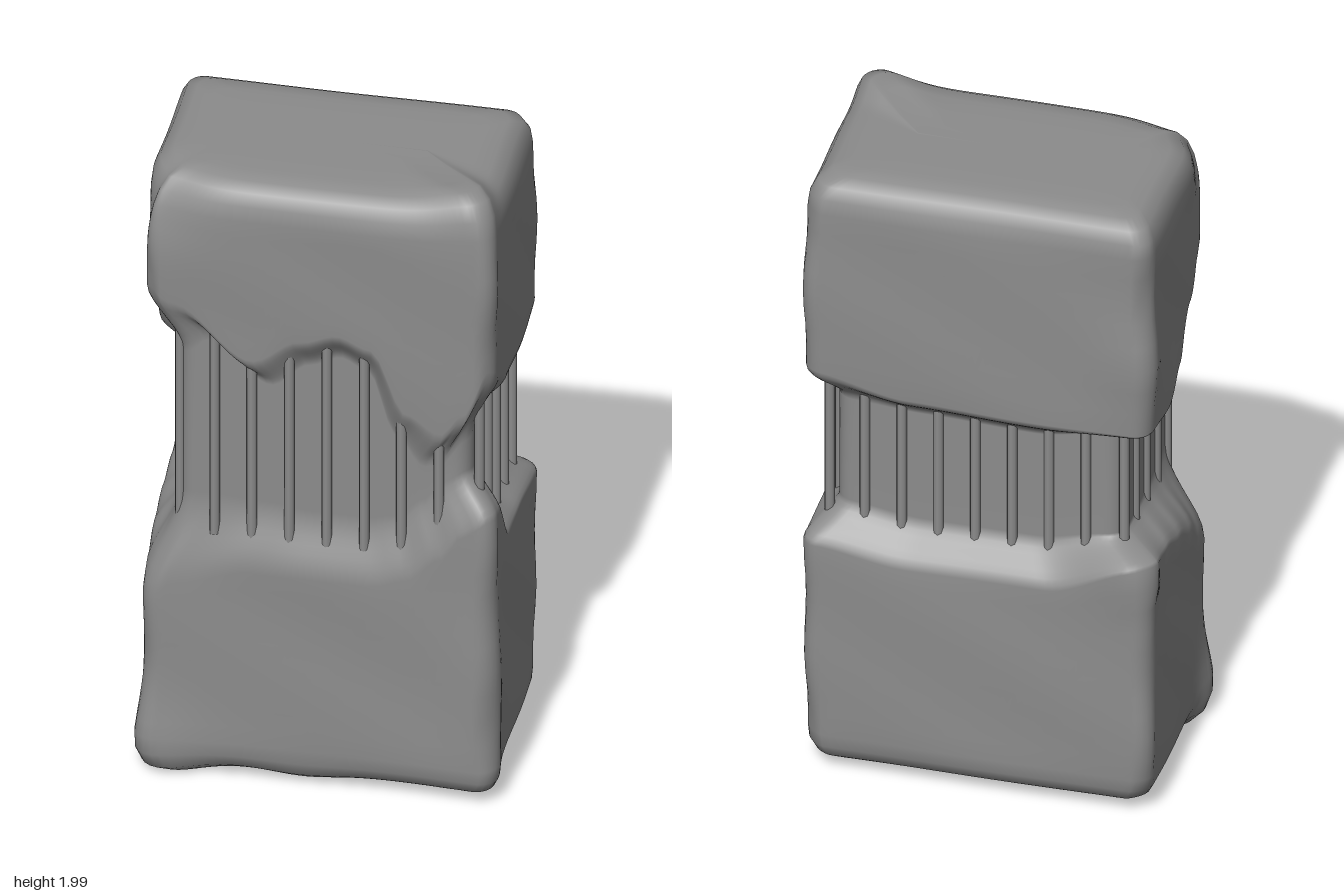
import * as THREE from 'three';

// Edge of the broken waist around the pillar:
// [p, upper edge, upper softness, lower edge, lower softness].
// p runs 0-1 along the front, 1-2 right side, 2-3 back, 3-4 left side.
const EDGE = [
  [0, 1.46, 0.22, 0.82, 0.24], [0.08, 1.48, 0.13, 0.84, 0.2], [0.31, 1.34, 0.1, 0.85, 0.15],
  [0.45, 1.42, 0.1, 0.84, 0.14], [0.56, 1.455, 0.1, 0.84, 0.14], [0.66, 1.42, 0.1, 0.84, 0.14],
  [0.76, 1.22, 0.1, 0.86, 0.13], [0.86, 1.14, 0.14, 0.93, 0.12], [0.93, 1.18, 0.2, 1.0, 0.1],
  [1, 1.28, 0.26, 1.04, 0.09], [1.1, 1.29, 0.16, 1.03, 0.09], [1.32, 1.25, 0.12, 0.86, 0.07],
  [1.6, 1.24, 0.12, 0.84, 0.06], [2, 1.26, 0.13, 0.84, 0.08], [2.3, 1.23, 0.09, 0.81, 0.09],
  [2.7, 1.22, 0.09, 0.81, 0.09], [3, 1.24, 0.06, 0.87, 0.04], [3.3, 1.21, 0.08, 0.86, 0.07],
  [3.52, 1.27, 0.1, 0.85, 0.1], [3.72, 1.4, 0.11, 0.84, 0.14], [3.88, 1.47, 0.14, 0.83, 0.2],
  [4, 1.46, 0.22, 0.82, 0.24],
];

// Bulges and hollows on the corners: [p, y, height, amount]
const DENTS = [
  [0, 0, 0.16, 0.03], [0, 1.95, 0.18, -0.05], [0, 1.45, 0.2, -0.012],
  [1, 0.3, 0.35, 0.016], [3, 0.79, 0.07, 0.02], [3, 1.5, 0.12, 0.012],
];
const smooth = (t) => t * t * (3 - 2 * t);
const bell = (d, w) => Math.exp(-((d / w) ** 2));

function edgeAt(p) {
  const q = p % 4;
  const i = EDGE.findIndex((e) => e[0] > q);
  const a = EDGE[i - 1], b = EDGE[i];
  const t = smooth((q - a[0]) / (b[0] - a[0]));
  return [1, 2, 3, 4].map((n) => a[n] + (b[n] - a[n]) * t);
}

// Columns around a rounded rectangle: position on the inner rectangle, outward normal, p
function perimeter(flat = 40, arc = 6) {
  const cols = [];
  const dirs = [[0, 1], [1, 0], [0, -1], [-1, 0]];
  for (let s = 0; s < 4; s++) {
    const n = dirs[s], next = dirs[(s + 1) % 4];
    for (let i = 0; i < flat; i++) {
      const t = i / flat, k = 2 * t - 1;
      cols.push({ f: [n[0] + next[0] * k, n[1] + next[1] * k], n, p: s + 0.04 + 0.92 * t });
    }
    for (let i = 0; i < arc; i++) {
      const t = i / arc, c = Math.cos(t * Math.PI / 2), d = Math.sin(t * Math.PI / 2);
      cols.push({
        f: [n[0] + next[0], n[1] + next[1]],
        n: [n[0] * c + next[0] * d, n[1] * c + next[1] * d],
        p: s + 0.96 + 0.08 * t,
      });
    }
  }
  return cols;
}

// Levels from bottom to top, each giving [y, block weight, inset] for a column
function levels() {
  const rows = [];
  const fixed = (y, inset) => rows.push(() => [y, 1, inset]);
  [[0.03, 0.25], [0.03, 0.18], [0.03, 0.1], [0.035, 0.05], [0.055, 0.02], [0.09, 0.004], [0.13, 0]]
    .forEach(([y, d]) => fixed(y, d));
  for (let i = 1; i <= 9; i++) {
    rows.push(([, , lo, soft]) => [0.13 + (lo - soft - 0.13) * i / 10, 1, 0]);
  }
  for (let i = 0; i <= 8; i++) {
    rows.push(([, , lo, soft]) => [lo - soft + 1.4 * soft * i / 8, 1 - smooth(i / 8), 0]);
  }
  for (let i = 0; i <= 8; i++) {
    rows.push(([up, soft]) => [up + soft * (i / 8 - 0.4), smooth(i / 8), 0]);
  }
  for (let i = 1; i <= 7; i++) {
    rows.push(([up, soft]) => {
      const start = up + 0.6 * soft;
      return [start + (1.86 - start) * i / 8, 1, 0];
    });
  }
  [[1.86, 0], [1.905, 0.006], [1.94, 0.025], [1.96, 0.06], [1.965, 0.11], [1.966, 0.18], [1.966, 0.25]]
    .forEach(([y, d]) => fixed(y, d));
  return rows;
}

function pillarGeometry() {
  const cols = perimeter(), rows = levels(), N = cols.length, r = 0.055;
  const pos = [], index = [];
  // bump around the perimeter, centred on c
  const near = (p, c, w) => bell(Math.abs(((p - c + 6) % 4) - 2), w);
  for (const row of rows) {
    for (const { f, n, p } of cols) {
      let [y, k, inset] = row(edgeAt(p));
      // block outline blended with the smaller core
      const a = 0.4175 + 0.0875 * k - inset, b = 0.2475 + 0.0675 * k - inset;
      const angle = p * Math.PI / 2;
      const corner = Math.abs(n[0] * n[1]) * 2;
      const fade = bell(inset, 0.12);
      // worn surface: gentle waves, stronger at the corners
      const wave = (0.004 + 0.01 * corner) * Math.sin(y * 11 + angle * 3) * Math.sin(angle * 2 + y * 4 + 1);
      const dents = DENTS.reduce((sum, [c, h, w, d]) => sum + d * near(p, c, 0.14) * bell(y - h, w), 0);
      const out = r + k * fade * (wave + dents);
      const x = f[0] * (a - r) + n[0] * out + 0.0125 * (1 - k);
      const z = f[1] * (b - r) + n[1] * out + 0.0125 - 0.0175 * k;
      // raised top corner and drooping foot
      if (y > 1.8) y += (y - 1.8) / 0.16 * fade * 0.045 * near(p, 1, 0.14);
      if (y < 0.12) y -= (0.12 - y) / 0.09 * fade * (0.036 * near(p, 0, 0.16) + 0.02 * near(p, 0.45, 0.14));
      pos.push(x, y, z);
    }
  }
  for (let j = 0; j < rows.length - 1; j++) {
    for (let i = 0; i < N; i++) {
      const i2 = (i + 1) % N, A = j * N + i, B = j * N + i2, C = A + N, D = B + N;
      index.push(A, B, D, A, D, C);
    }
  }
  // end caps
  const last = (rows.length - 1) * N, bottom = rows.length * N, top = bottom + 1;
  pos.push(0, 0.03, 0, 0, 1.966, 0);
  for (let i = 0; i < N; i++) {
    const i2 = (i + 1) % N;
    index.push(bottom, i2, i, top, last + i, last + i2);
  }
  const g = new THREE.BufferGeometry();
  g.setAttribute('position', new THREE.Float32BufferAttribute(pos, 3));
  g.setIndex(index);
  g.computeVertexNormals();
  return g;
}

export function createModel() {
  const model = new THREE.Group();
  model.name = 'brokenPillar';
  const material = new THREE.MeshStandardMaterial({ color: 0x8c8c8c });

  // Block with its eroded waist
  const body = new THREE.Mesh(pillarGeometry(), material);
  body.name = 'concreteBody';
  model.add(body);

  // Reinforcing bars around the waist
  const bars = new THREE.Group();
  bars.name = 'reinforcingBars';
  const barGeometry = new THREE.CylinderGeometry(0.015, 0.015, 0.7, 8);
  const addBar = (x, z) => {
    const bar = new THREE.Mesh(barGeometry, material);
    bar.name = 'reinforcingBar';
    bar.position.set(x, 1.15, z);
    bars.add(bar);
  };
  const x0 = -0.405, x1 = 0.45, z0 = -0.22, z1 = 0.23;
  // long sides, standing slightly proud of the corner bars
  for (let i = 1; i < 8; i++) {
    const x = x0 + (x1 - x0) * i / 8;
    addBar(x, -0.238);
    addBar(x, 0.272);
  }
  // short sides with the corner bars
  for (let i = 0; i <= 4; i++) {
    const z = z0 + (z1 - z0) * i / 4;
    addBar(x0, z);
    addBar(x1, z);
  }
  model.add(bars);

  // The pillar stands turned on its base
  model.rotation.y = 0.61;
  return model;
}
